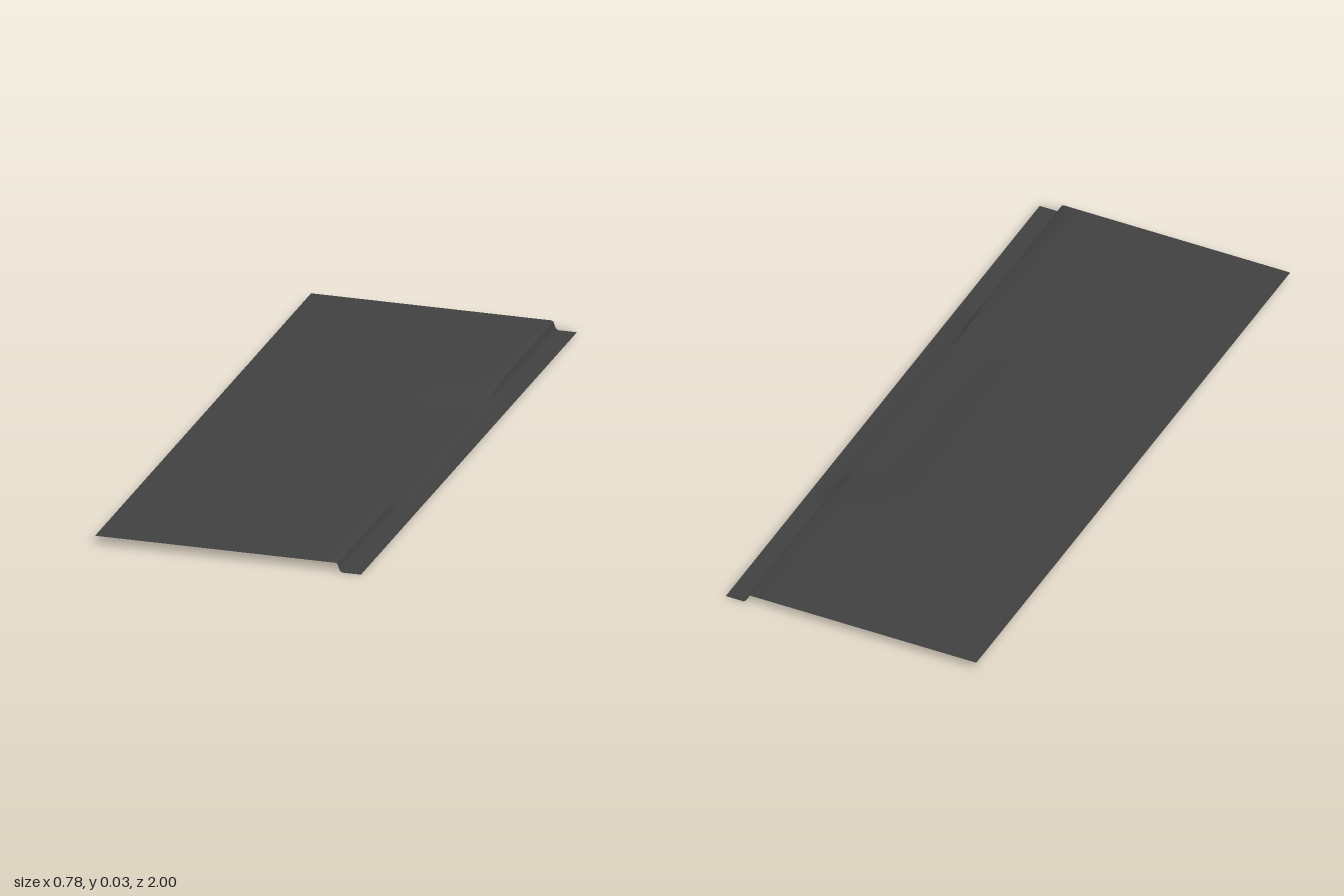
import * as THREE from 'three';
import { toCreasedNormals } from 'three/addons/utils/BufferGeometryUtils.js';

// Cross-section stations: [x, height at full kerb, height at dropped kerb]
const PROFILE = [
  [-0.39, 0.027, 0.027],
  [0.04, 0.027, 0.027],
  [0.12, 0.027, 0.0205],
  [0.19, 0.027, 0.0125],
  [0.25, 0.027, 0.004],
  [0.316, 0.027, 0.004],
  [0.321, 0.024, 0.0035],
  [0.328, 0.005, 0.002],
  [0.334, 0.0, 0.0],
  [0.39, 0.0, 0.0],
];

// Stations along the kerb, mirrored about z = 0
const HALF = [0.28, 0.31, 0.34, 0.37, 0.4, 0.43, 0.46, 0.49, 0.52, 0.55, 1];
const STATIONS = [...HALF.map((z) => -z).reverse(), ...HALF];

function createPavement() {
  const cols = PROFILE.length;
  const geometry = new THREE.PlaneGeometry(1, 1, cols - 1, STATIONS.length - 1);
  const pos = geometry.attributes.position;

  // Blend from the dropped section in the middle to the full kerb at the ends
  for (let i = 0; i < pos.count; i++) {
    const [x, full, dropped] = PROFILE[i % cols];
    const z = STATIONS[Math.floor(i / cols)];
    const t = THREE.MathUtils.smoothstep(Math.abs(z), 0.28, 0.55);
    pos.setXYZ(i, x, THREE.MathUtils.lerp(dropped, full, t), z);
  }
  return toCreasedNormals(geometry, Math.PI / 5);
}

export function createModel() {
  const group = new THREE.Group();
  group.name = 'droppedKerbPavement';
  const material = new THREE.MeshStandardMaterial({ color: 0x404040, side: THREE.DoubleSide });

  // Pavement, driveway ramp, kerb face and gutter in one thin sheet
  const pavement = new THREE.Mesh(createPavement(), material);
  pavement.name = 'pavement';
  group.add(pavement);
  return group;
}
